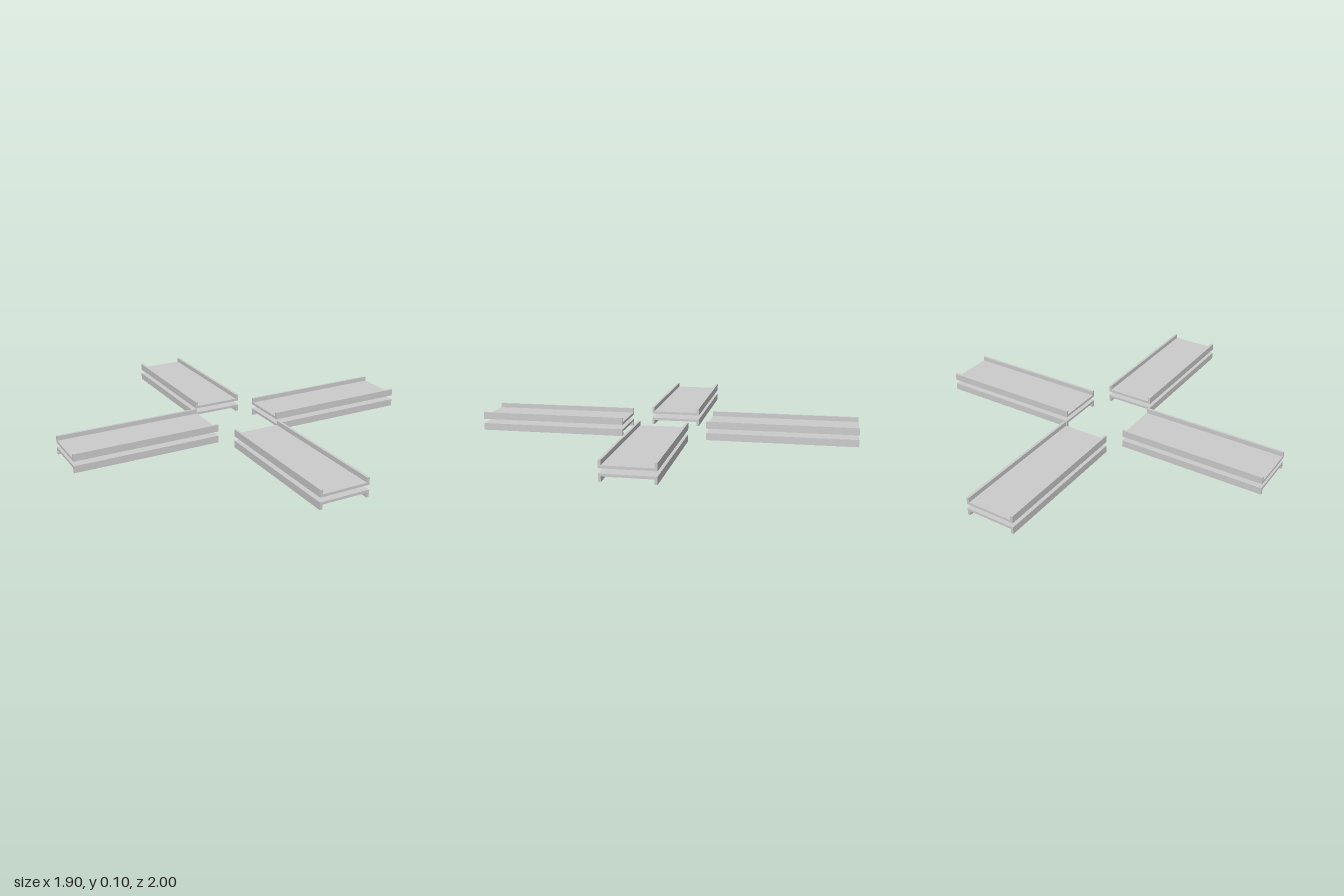
import * as THREE from 'three';

const LENGTH = 0.777, HALF = 0.132, HEIGHT = 0.037, WALL = 0.013, TOP = 0.098;

// U-shaped channel, open upwards, running along z and centred on it
function channelGeometry() {
  const s = new THREE.Shape([
    [-HALF, 0], [HALF, 0], [HALF, HEIGHT], [HALF - WALL, HEIGHT],
    [HALF - WALL, WALL], [-HALF + WALL, WALL], [-HALF + WALL, HEIGHT], [-HALF, HEIGHT],
  ].map(([x, y]) => new THREE.Vector2(x, y)));
  return new THREE.ExtrudeGeometry(s, { depth: LENGTH, bevelEnabled: false })
    .translate(0, 0, -LENGTH / 2);
}

export function createModel() {
  const model = new THREE.Group();
  model.name = 'crossOfChannels';
  const material = new THREE.MeshStandardMaterial({ color: 0xcccccc, flatShading: true });
  const geometry = channelGeometry();

  // Each arm is a pair of channels set back to back with a gap between
  function addArm(name, x, z, turn) {
    const arm = new THREE.Group();
    arm.name = name;
    const upper = new THREE.Mesh(geometry, material);
    upper.name = 'upperChannel';
    upper.position.y = TOP - HEIGHT;
    const lower = new THREE.Mesh(geometry, material);
    lower.name = 'lowerChannel';
    lower.rotation.z = Math.PI;
    lower.position.y = HEIGHT;
    arm.add(upper, lower);
    arm.position.set(x, 0, z);
    arm.rotation.y = turn;
    model.add(arm);
  }

  const endZ = 1 - LENGTH / 2, endX = 0.951 - LENGTH / 2;
  addArm('frontArm', 0, endZ, 0);
  addArm('backArm', 0, -endZ, 0);
  // The side arms sit slightly towards the back
  addArm('leftArm', endX, -0.004, Math.PI / 2);
  addArm('rightArm', -endX, -0.004, Math.PI / 2);
  return model;
}
